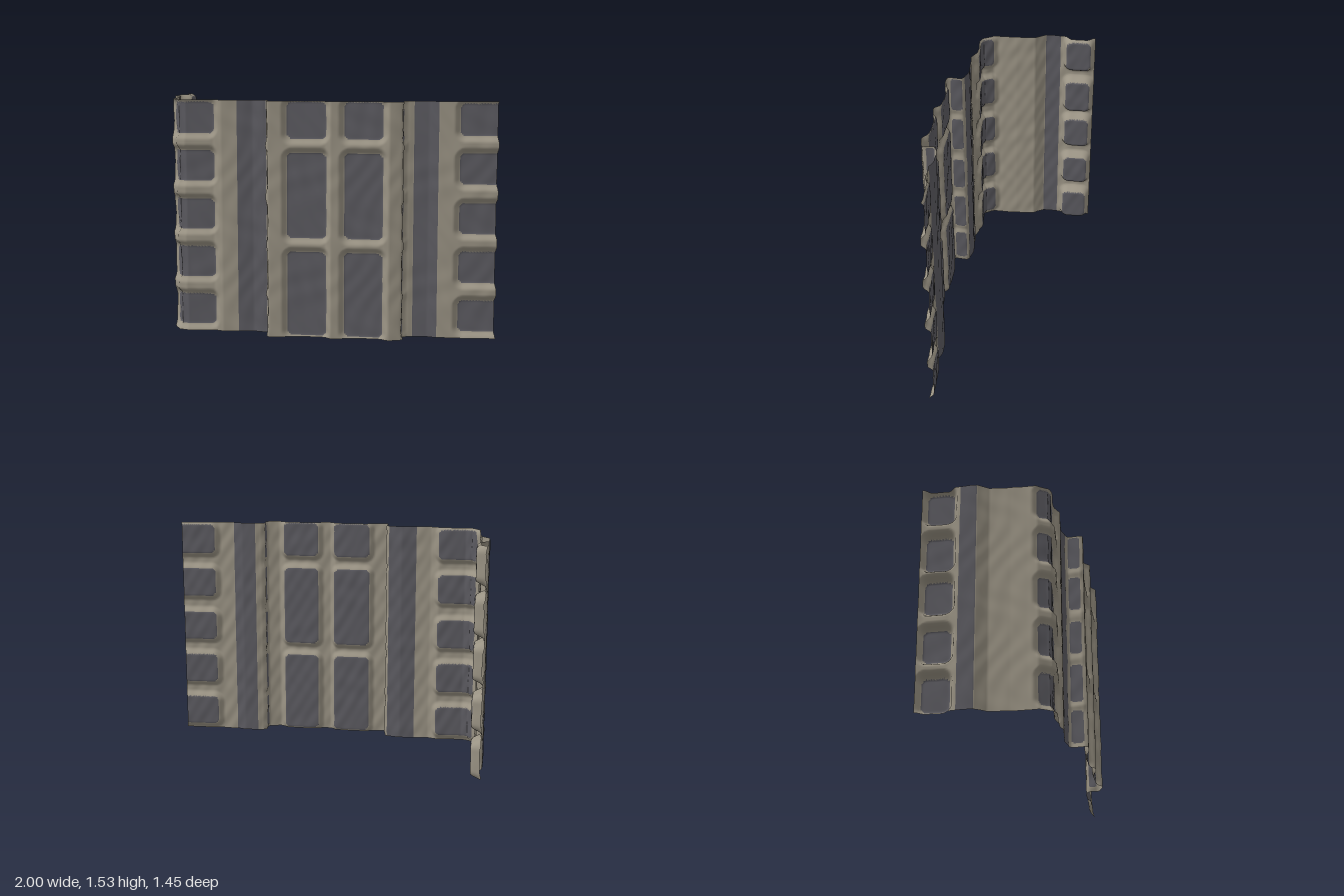
import * as THREE from 'three';

const HEIGHT = 1.53, STEP = 0.01;

// Plan of the facade as [x, z], from the rear end of the side wall round the corner to the front right
const PLAN = [
  [-0.835, -0.73], [-0.84, -0.70], [-0.888, -0.545], [-0.915, -0.495], [-0.95, -0.395], // 0-4
  [-0.92, -0.31], [-0.945, -0.18], [-0.975, -0.08], [-0.997, -0.02], [-0.98, 0.07], // 5-9
  [-0.93, 0.105], [-0.75, 0.145], [-0.70, 0.18], [-0.60, 0.20], [-0.50, 0.22], // 10-14
  [-0.42, 0.265], [-0.412, 0.285], [-0.437, 0.36], [-0.43, 0.385], [-0.31, 0.412], // 15-19
  [-0.20, 0.445], [-0.075, 0.485], [-0.045, 0.512], [0.04, 0.53], [0.27, 0.605], // 20-24
  [0.31, 0.63], [0.395, 0.632], [0.41, 0.615], [0.425, 0.565], [0.45, 0.553], // 25-29
  [0.49, 0.553], [0.58, 0.58], [0.635, 0.615], [0.765, 0.655], [1.0, 0.715], // 30-34
];

const FLOORS = [[0.04, 0.245], [0.36, 0.565], [0.68, 0.88], [1.0, 1.2], [1.31, 1.515]];
const SIDE = [[0.02, 0.235], [0.34, 0.55], [0.665, 0.885], [0.965, 1.195], [1.3, 1.515]];
const TALL = [[0.01, 0.56], [0.65, 1.2], [1.29, 1.525]];
const RETURN = [[0.03, 0.25], [0.31, 0.57], [0.65, 0.88], [0.97, 1.21], [1.28, 1.52]];
const FULL = [[-0.2, HEIGHT + 0.2]];

// Columns of openings: plan points they run between, rows, depth of recess
const COLUMNS = [
  { from: 1, to: 2, rows: SIDE, depth: 0.065 },
  { from: 3, to: 4, rows: FULL, depth: 0, band: true },
  { from: 8, to: 11, rows: FLOORS, depth: 0.028 },
  { from: 13, to: 15, rows: FULL, depth: 0, band: true },
  { from: 16, to: 17, rows: RETURN, depth: 0.008 },
  { from: 19, to: 21, rows: TALL, depth: 0.028 },
  { from: 23, to: 24, rows: TALL, depth: 0.028 },
  { from: 27, to: 28, rows: RETURN, depth: 0.008 },
  { from: 30, to: 32, rows: FULL, depth: 0, band: true },
  { from: 33, to: 34, rows: FLOORS, depth: 0.032, open: true },
];

// Running length along the plan at each plan point
const LENGTH = [0];
for (let i = 1; i < PLAN.length; i++) {
  LENGTH.push(LENGTH[i - 1] + Math.hypot(PLAN[i][0] - PLAN[i - 1][0], PLAN[i][1] - PLAN[i - 1][1]));
}
const TOTAL = LENGTH[LENGTH.length - 1];

function planAt(s) {
  const c = THREE.MathUtils.clamp(s, 0, TOTAL);
  let i = 1;
  while (i < PLAN.length - 1 && LENGTH[i] < c) i++;
  const t = (c - LENGTH[i - 1]) / (LENGTH[i] - LENGTH[i - 1]);
  return [0, 1].map(k => THREE.MathUtils.lerp(PLAN[i - 1][k], PLAN[i][k], t));
}

// Outward direction, averaged over a short stretch so corners stay clean
function outwardAt(s) {
  const a = planAt(s - 0.03), b = planAt(s + 0.03);
  const dx = b[0] - a[0], dz = b[1] - a[1], l = Math.hypot(dx, dz);
  return [-dz / l, dx / l];
}

// Signed distance to a rounded opening: negative inside
function openingDistance(s, y, col, row) {
  const s0 = LENGTH[col.from], s1 = LENGTH[col.to] + (col.open ? 0.1 : 0);
  const hw = (s1 - s0) / 2, hh = (row[1] - row[0]) / 2, r = Math.min(0.035, hw * 0.6);
  const dx = Math.abs(s - s0 - hw) - hw + r, dy = Math.abs(y - row[0] - hh) - hh + r;
  return Math.hypot(Math.max(dx, 0), Math.max(dy, 0)) + Math.min(Math.max(dx, dy), 0) - r;
}

function nearestOpening(s, y) {
  let best = { d: Infinity, col: null };
  for (const col of COLUMNS) {
    if (s < LENGTH[col.from] - 0.1 || s > LENGTH[col.to] + 0.1) continue;
    for (const row of col.rows) {
      const d = openingDistance(s, y, col, row);
      if (d < best.d) best = { d, col };
    }
  }
  return best;
}

// Depth of the surface behind the wall line
function recess(s, y) {
  let depth = 0;
  for (const col of COLUMNS) {
    if (!col.depth || s < LENGTH[col.from] - 0.1 || s > LENGTH[col.to] + 0.1) continue;
    for (const row of col.rows) {
      const m = 1 - THREE.MathUtils.smoothstep(openingDistance(s, y, col, row), -0.005, 0.04);
      depth = Math.max(depth, col.depth * m);
    }
  }
  return depth;
}

// Gentle unevenness of the weathered surface
const rough = (s, y) =>
  0.0025 * Math.sin(s * 31 + 2 * Math.sin(y * 9)) * Math.sin(y * 23 + 3 * Math.sin(s * 7)) +
  0.0012 * Math.sin(s * 67 + y * 41);

export function createModel() {
  const group = new THREE.Group();
  group.name = 'facade';
  const stone = new THREE.MeshStandardMaterial({ color: 0x9a9384, side: THREE.DoubleSide });
  stone.name = 'stone';
  const darkGrey = new THREE.MeshStandardMaterial({ color: 0x5c5b61, side: THREE.DoubleSide });
  darkGrey.name = 'dark grey';

  // Grid stations, with every plan point kept
  const stations = [0];
  for (let i = 1; i < PLAN.length; i++) {
    const n = Math.ceil((LENGTH[i] - LENGTH[i - 1]) / STEP);
    for (let k = 1; k <= n; k++) stations.push(THREE.MathUtils.lerp(LENGTH[i - 1], LENGTH[i], k / n));
  }
  const rows = Math.round(HEIGHT / STEP);

  // Surface points
  const positions = [], params = [];
  for (const s of stations) {
    const p = planAt(s), n = outwardAt(s);
    for (let j = 0; j <= rows; j++) {
      const y = HEIGHT * j / rows;
      const offset = rough(s, y) - recess(s, y);
      const x = THREE.MathUtils.clamp(p[0] + n[0] * offset, -1, 1);
      positions.push(s === TOTAL ? 1 : x, y, p[1] + n[1] * offset);
      params.push([s, y]);
    }
  }

  // Sort the triangles into wall, panes and bands
  const faces = { wall: [], windowPanes: [], verticalBands: [] }, all = [];
  const addFace = (...tri) => {
    const s = (params[tri[0]][0] + params[tri[1]][0] + params[tri[2]][0]) / 3;
    const y = (params[tri[0]][1] + params[tri[1]][1] + params[tri[2]][1]) / 3;
    const { d, col } = nearestOpening(s, y);
    const part = d > 0 ? 'wall' : col.band ? 'verticalBands' : 'windowPanes';
    faces[part].push(...tri);
    all.push(...tri);
  };
  for (let i = 0; i < stations.length - 1; i++) {
    for (let j = 0; j < rows; j++) {
      const a = i * (rows + 1) + j, b = a + rows + 1;
      addFace(a, b, b + 1);
      addFace(a, b + 1, a + 1);
    }
  }

  // Shared smooth normals across all parts
  const whole = new THREE.BufferGeometry();
  whole.setAttribute('position', new THREE.Float32BufferAttribute(positions, 3));
  whole.setIndex(all);
  whole.computeVertexNormals();

  for (const [name, index] of Object.entries(faces)) {
    const geometry = new THREE.BufferGeometry();
    geometry.setAttribute('position', whole.getAttribute('position'));
    geometry.setAttribute('normal', whole.getAttribute('normal'));
    geometry.setIndex(index);
    const mesh = new THREE.Mesh(geometry, name === 'wall' ? stone : darkGrey);
    mesh.name = name;
    group.add(mesh);
  }
  return group;
}
